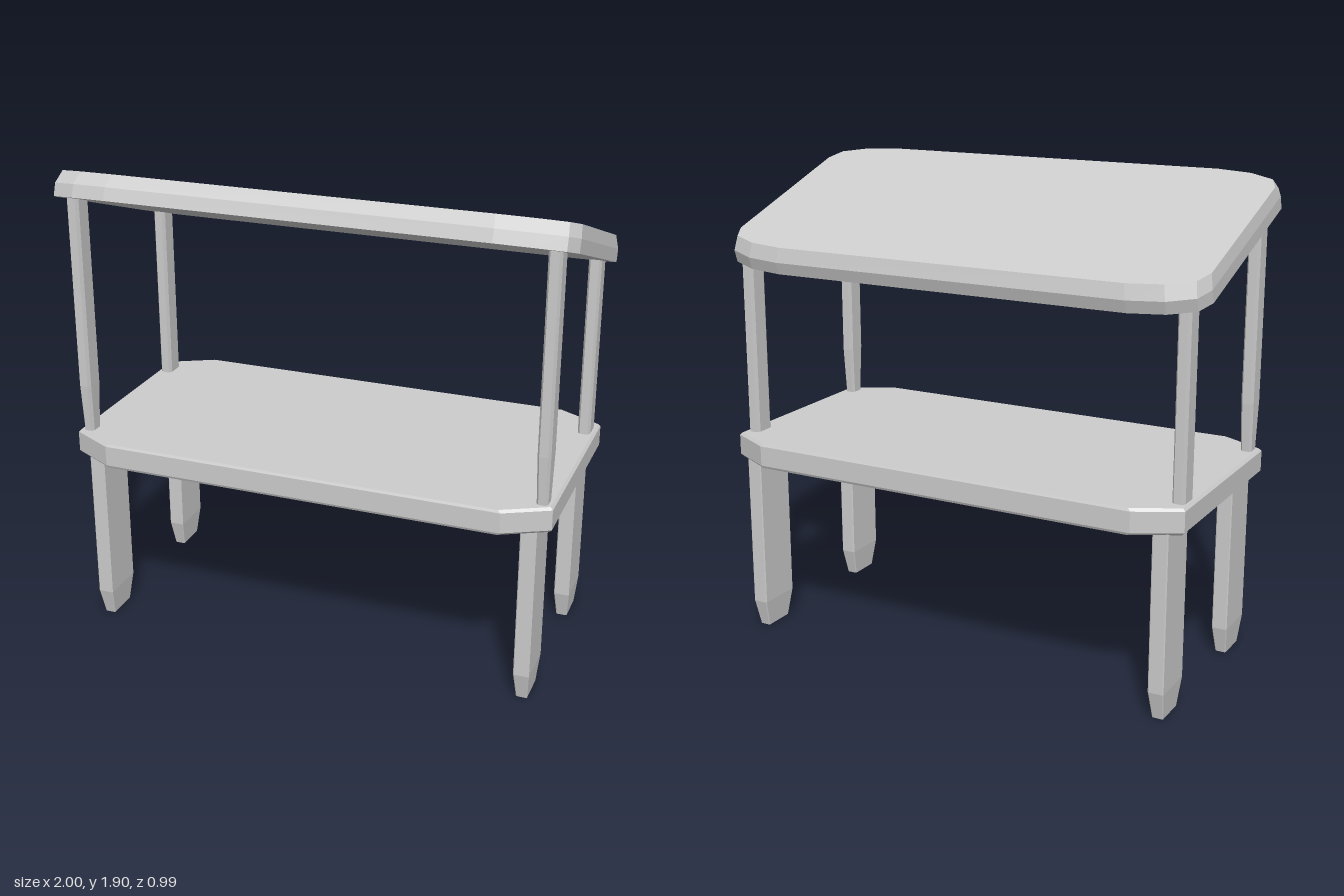
import * as THREE from 'three';

const material = new THREE.MeshStandardMaterial({ color: 0xcccccc, flatShading: true });

// Mirrors one corner, listed from the x side to the z side, into a closed outline
function outline(corner) {
  const back = [...corner].reverse();
  return [
    ...corner,
    ...back.map(([x, z]) => [-x, z]),
    ...corner.map(([x, z]) => [-x, -z]),
    ...back.map(([x, z]) => [x, -z]),
  ];
}

// Rectangle with cut corners
const chamfered = (hx, hz, cx, cz) => outline([[hx, hz - cz], [hx - cx, hz]]);

// Joins outlines stacked along y and closes both ends; rings = [[y, outline], ...]
function loft(name, rings) {
  const pos = [];
  const n = rings[0][1].length;
  const pt = (r, i) => {
    const [y, pts] = rings[r];
    return [pts[i % n][0], y, pts[i % n][1]];
  };
  const last = rings.length - 1;
  for (let i = 0; i < n; i++) {
    for (let r = 0; r < last; r++) {
      const a = pt(r, i), b = pt(r, i + 1), c = pt(r + 1, i), d = pt(r + 1, i + 1);
      pos.push(...a, ...c, ...b, ...c, ...d, ...b);
    }
    pos.push(0, rings[0][0], 0, ...pt(0, i), ...pt(0, i + 1));
    pos.push(0, rings[last][0], 0, ...pt(last, i + 1), ...pt(last, i));
  }
  const geo = new THREE.BufferGeometry();
  geo.setAttribute('position', new THREE.Float32BufferAttribute(pos, 3));
  geo.computeVertexNormals();
  const mesh = new THREE.Mesh(geo, material);
  mesh.name = name;
  return mesh;
}

export function createModel() {
  const model = new THREE.Group();
  model.name = 'shelfStand';

  // Sloping top board with rounded corners and a bevelled upper edge
  const boardOutline = (inset) =>
    outline([[1, 0.36], [0.97, 0.425], [0.87, 0.467], [0.73, 0.485]]
      .map(([x, z]) => [x - inset * 0.3, z - inset]));
  const top = loft('slopingTop', [
    [0, boardOutline(0)],
    [0.05, boardOutline(0)],
    [0.1, boardOutline(0.03)],
  ]);
  top.position.set(0, 1.655, 0.04);
  top.rotation.x = -THREE.MathUtils.degToRad(18.8);
  model.add(top);

  // Lower shelf with long cut corners
  const shelf = loft('shelf', [
    [0.725, chamfered(0.955, 0.485, 0.17, 0.09)],
    [0.735, chamfered(0.965, 0.49, 0.17, 0.09)],
    [0.815, chamfered(0.965, 0.49, 0.17, 0.09)],
    [0.825, chamfered(0.955, 0.485, 0.17, 0.09)],
  ]);
  shelf.position.z = -0.005;
  model.add(shelf);

  for (const side of [1, -1]) {
    const label = side > 0 ? 'left' : 'right';

    // Flat legs, tapering at the foot
    for (const [end, z] of [['Front', 0.315], ['Back', -0.335]]) {
      const leg = loft(label + end + 'Leg', [
        [0, chamfered(0.022, 0.066, 0.004, 0.004)],
        [0.11, chamfered(0.031, 0.093, 0.004, 0.004)],
        [0.74, chamfered(0.031, 0.093, 0.004, 0.004)],
      ]);
      leg.position.set(side * 0.883, 0, z);
      model.add(leg);
    }

    // Front posts taper down to the shelf
    const post = chamfered(0.025, 0.046, 0.009, 0.014);
    const frontPost = loft(label + 'FrontPost', [
      [0.81, chamfered(0.021, 0.03, 0.008, 0.01)],
      [1.02, post],
      [1.79, post],
    ]);
    frontPost.position.set(side * 0.922, 0, 0.358);
    model.add(frontPost);

    // Straight, shorter back posts
    const backPost = loft(label + 'BackPost', [[0.81, post], [1.56, post]]);
    backPost.position.set(side * 0.922, 0, -0.326);
    model.add(backPost);
  }
  return model;
}
